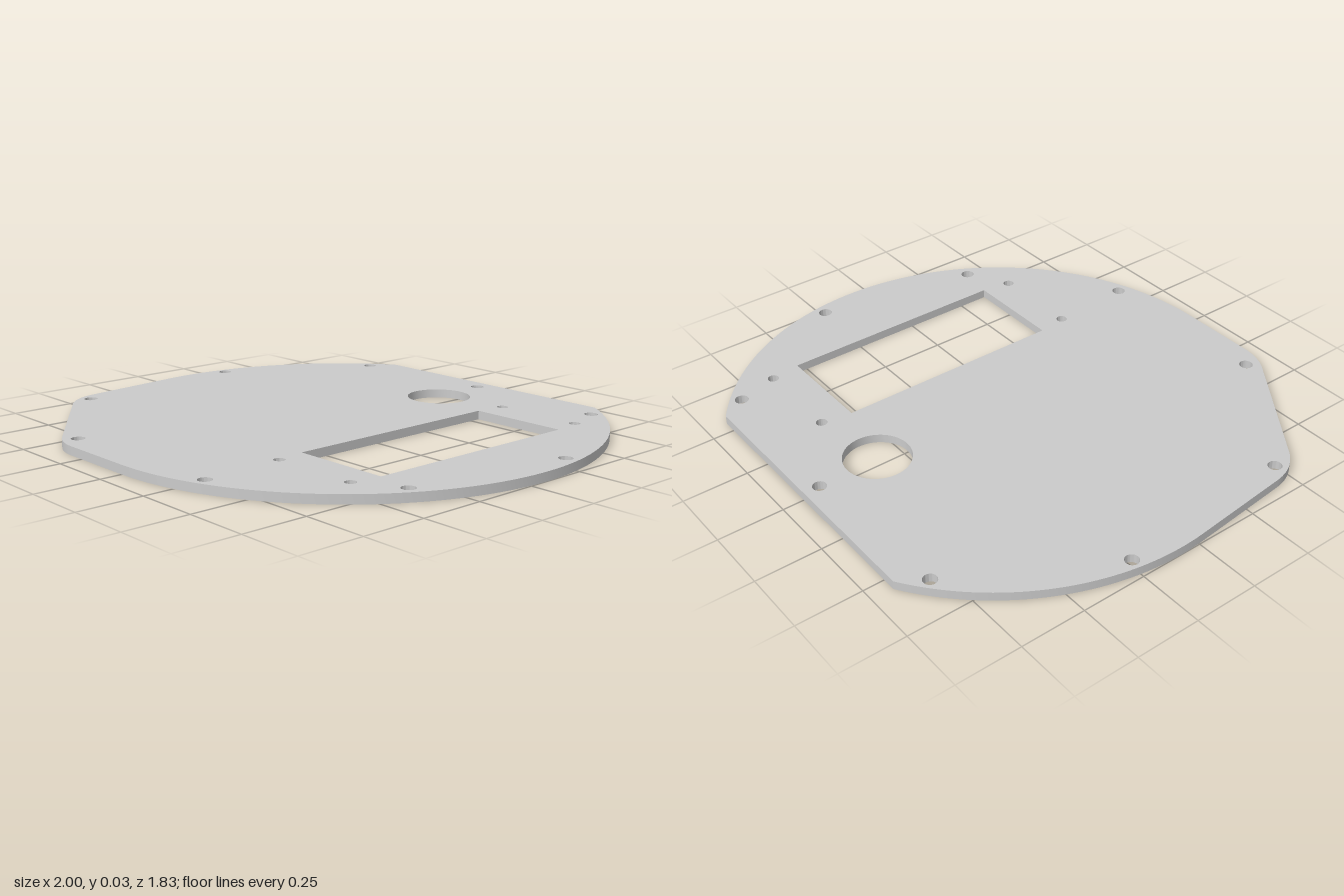
import * as THREE from 'three';
import { toCreasedNormals } from 'three/addons/utils/BufferGeometryUtils.js';

const THICKNESS = 0.034;

// Outline and cut-outs are drawn in plan; shape y is -z.
function outline() {
  const cy = 0.085; // centre of the round edge
  const flat = Math.asin(0.833);
  const s = new THREE.Shape();
  s.moveTo(0, cy - 1);
  s.absarc(0, cy, 1, -Math.PI / 2, flat, false); // round right side
  s.lineTo(-Math.cos(flat), 0.918); // flat back edge
  s.absarc(0, cy, 1, Math.PI - flat, Math.PI + 0.096, false); // round left side
  s.lineTo(-0.955, -0.411);
  s.quadraticCurveTo(-0.946, -0.511, -0.865, -0.569); // rounded corner
  s.lineTo(-0.446, -0.872);
  s.quadraticCurveTo(-0.388, -0.914, -0.317, -0.915); // rounded corner
  s.closePath();
  return s;
}

function addHole(shape, x, z, r) {
  shape.holes.push(new THREE.Path().absarc(x, -z, r, 0, Math.PI * 2, true));
}

export function createModel() {
  const shape = outline();

  // screw holes around the rim
  const rimHoles = [
    [-0.618, -0.82], [-0.005, -0.855], [0.61, -0.82],
    [-0.945, -0.253], [0.938, -0.253], [-0.893, 0.468],
    [-0.39, 0.84], [0.325, 0.812], [0.826, 0.39],
  ];
  for (const [x, z] of rimHoles) addHole(shape, x, z, 0.026);

  // four small mounting holes around the window
  for (const x of [0.304, 0.658]) {
    for (const z of [-0.658, 0.483]) addHole(shape, x, z, 0.021);
  }

  // large round opening
  addHole(shape, 0.01, -0.607, 0.126);

  // rectangular window
  shape.holes.push(new THREE.Path([
    new THREE.Vector2(0.285, 0.541), new THREE.Vector2(0.677, 0.541),
    new THREE.Vector2(0.677, -0.367), new THREE.Vector2(0.285, -0.367),
  ]));

  const geometry = new THREE.ExtrudeGeometry(shape, {
    depth: THICKNESS, bevelEnabled: false, curveSegments: 40,
  });
  geometry.rotateX(-Math.PI / 2);

  const plate = new THREE.Mesh(
    toCreasedNormals(geometry, Math.PI / 6),
    new THREE.MeshStandardMaterial({ color: 0xcccccc }),
  );
  plate.name = 'coverPlate';

  const model = new THREE.Group();
  model.name = 'panel';
  model.add(plate);
  return model;
}
